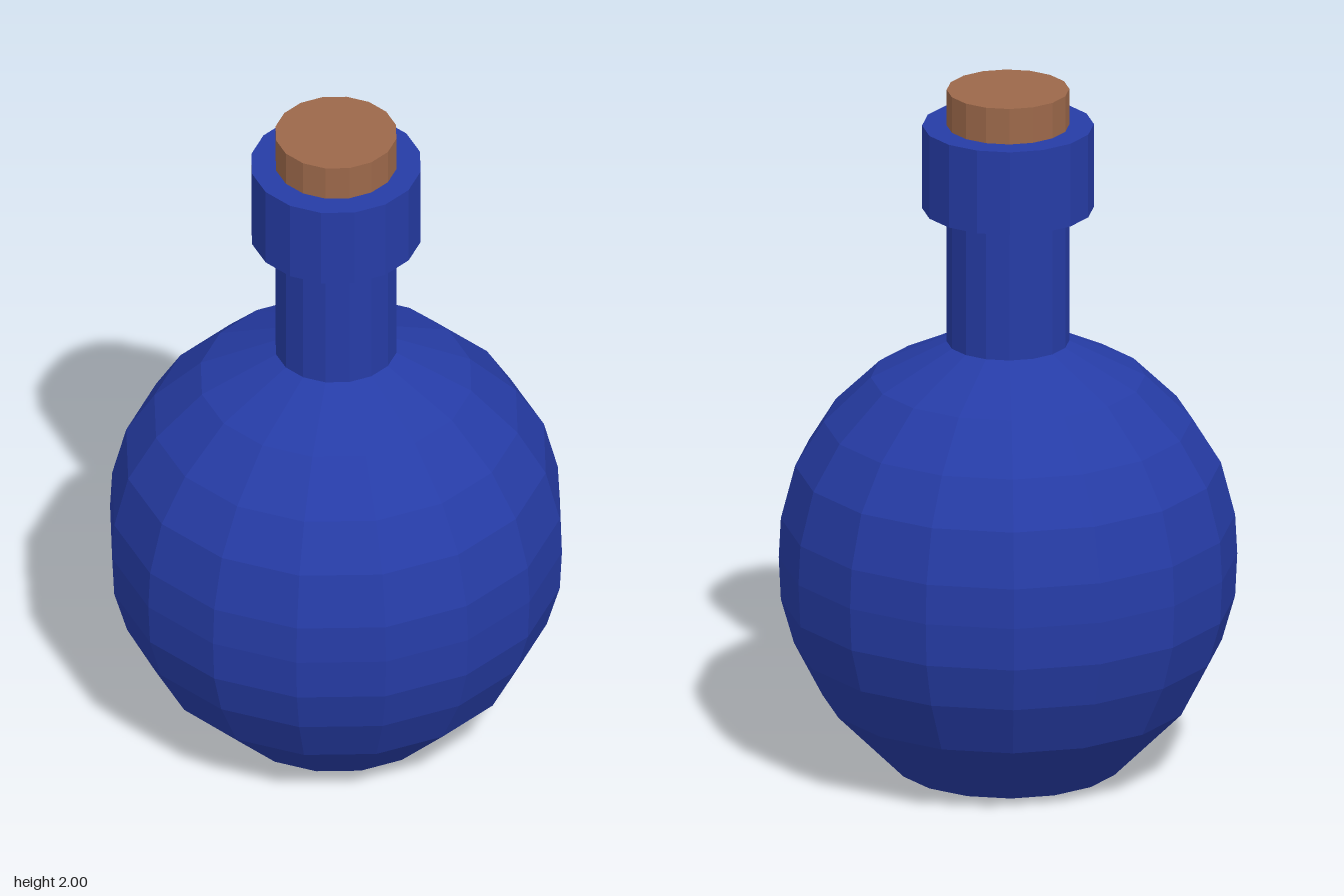
import * as THREE from 'three';

const SIDES = 16;

export function createModel() {
  const group = new THREE.Group();
  const glass = new THREE.MeshStandardMaterial({ name: 'blue glass', color: 0x263ca6, flatShading: true });
  const corkBrown = new THREE.MeshStandardMaterial({ name: 'cork brown', color: 0x9c684a, flatShading: true });

  // Revolves a bottom-to-top profile of [radius, height] points
  const lathe = (name, profile, material) => {
    const points = profile.map(([r, y]) => new THREE.Vector2(r, y));
    const mesh = new THREE.Mesh(new THREE.LatheGeometry(points, SIDES), material);
    mesh.name = name;
    group.add(mesh);
  };

  // Round body with a nearly flat base
  lathe('body', [
    [0, 0], [0.17, 0], [0.32, 0.008], [0.52, 0.21], [0.6, 0.365], [0.637, 0.495], [0.643, 0.62],
    [0.637, 0.735], [0.597, 0.89], [0.517, 1.02], [0.385, 1.15], [0.172, 1.255],
  ], glass);

  // Straight neck
  lathe('neck', [[0.172, 1.255], [0.172, 1.65]], glass);

  // Thick collar around the mouth
  lathe('collar', [[0.172, 1.65], [0.241, 1.65], [0.241, 1.895], [0.172, 1.895]], glass);

  // Stopper
  lathe('cork', [[0.172, 1.895], [0.172, 2], [0, 2]], corkBrown);

  return group;
}
